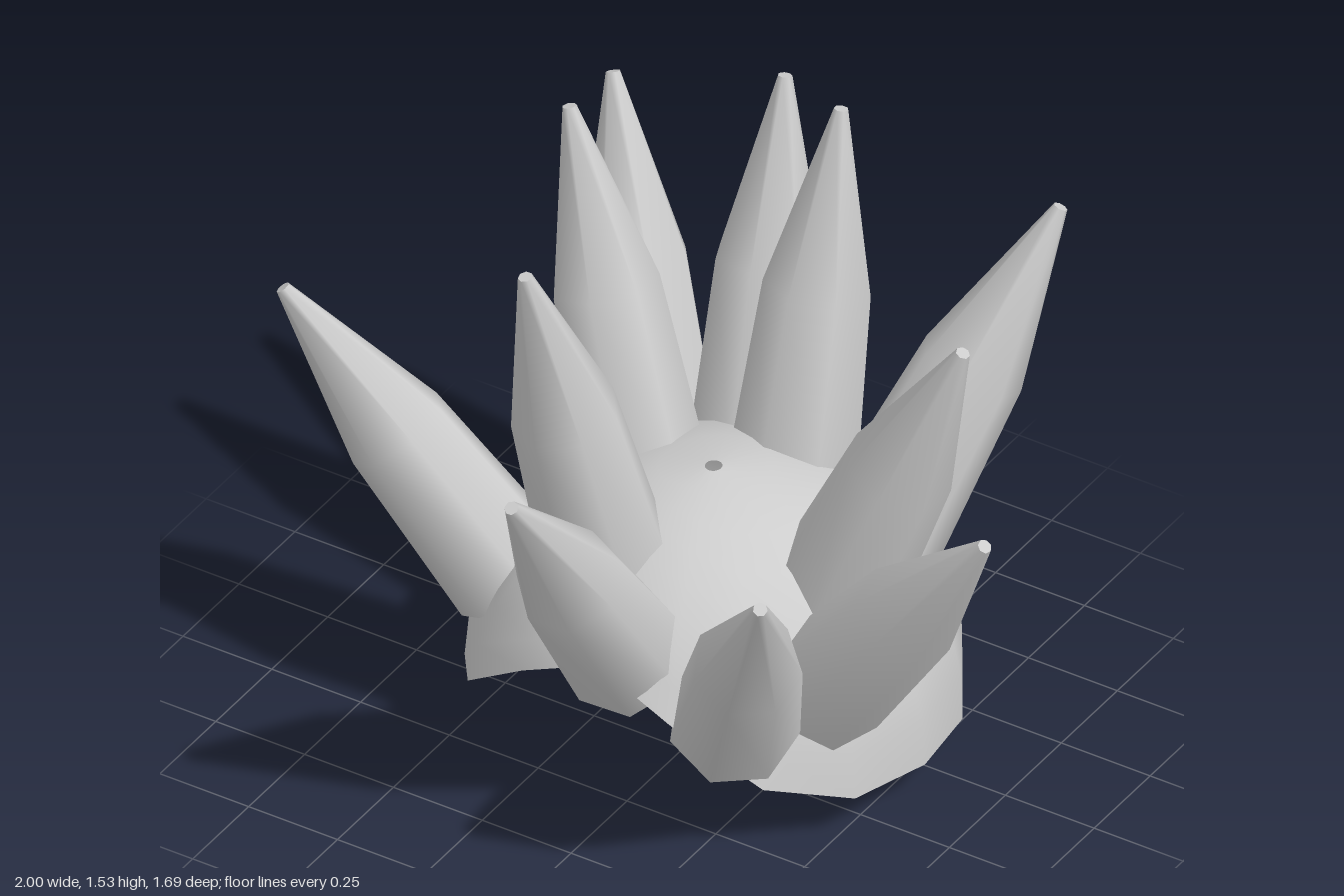
import * as THREE from 'three';
import { mergeGeometries, mergeVertices } from 'three/addons/utils/BufferGeometryUtils.js';

const grey = new THREE.MeshStandardMaterial({ color: 0xcccccc, side: THREE.DoubleSide });
grey.name = 'grey';

// Thin dome with a low back rim, an arched front rim and a small hole on top
function domeGeometry() {
  const segments = 16, rows = 9;
  const rim = [0.48, 0.39, 0.225, 0.13, 0.1, 0.07, 0.04, 0.015, 0]; // rim height, front to back
  const centre = 0.13, height = 0.62;
  const wall = Array.from({ length: rows }, (_, j) => new THREE.Vector2(1, j));
  const geo = new THREE.LatheGeometry(wall, segments);
  const pos = geo.attributes.position, uv = geo.attributes.uv;
  for (let i = 0; i < pos.count; i++) {
    const step = Math.round(uv.getX(i) * segments);
    const turn = (step % segments) / segments * Math.PI * 2;
    const start = Math.asin((rim[Math.min(step, segments - step)] - centre) / height);
    const rise = THREE.MathUtils.lerp(start, Math.PI / 2 - 0.035, uv.getY(i));
    const r = rise < 0 ? 1 : Math.cos(rise);
    pos.setXYZ(i, 0.595 * r * Math.sin(turn), centre + height * Math.sin(rise), -0.137 + 0.628 * r * Math.cos(turn));
  }
  geo.deleteAttribute('uv');
  geo.deleteAttribute('normal');
  const welded = mergeVertices(geo);
  welded.computeVertexNormals();
  return welded;
}

// Seven-sided spike of unit length along +y, with flat ends and a flat side towards +z
function spikeGeometry() {
  const sides = 7, base = 0.16, tip = 0.018;
  const profile = [[base, 0], [0.134, 0.505], [tip, 1]].map(([r, y]) => new THREE.Vector2(r, y));
  const body = new THREE.LatheGeometry(profile, sides);
  const bottom = new THREE.CircleGeometry(base, sides, Math.PI / 2).rotateX(Math.PI / 2);
  const top = new THREE.CircleGeometry(tip, sides, -Math.PI / 2).rotateX(-Math.PI / 2).translate(0, 1, 0);
  return mergeGeometries([body, bottom, top]).rotateY(Math.PI);
}

export function createModel() {
  const model = new THREE.Group();
  model.name = 'spikedCap';

  const dome = new THREE.Mesh(domeGeometry(), grey);
  dome.name = 'dome';
  model.add(dome);

  // Each spike: centre of the base, centre of the tip
  const spikes = [
    [[-0.325, 0.515, -0.405], [-0.625, 1.335, -0.68]],
    [[-0.11, 0.57, -0.48], [-0.16, 1.485, -0.71]],
    [[0.05, 0.61, -0.42], [0.055, 1.525, -0.62]],
    [[0.265, 0.465, -0.46], [0.54, 1.295, -0.83]],
    [[-0.265, 0.6, -0.23], [-0.525, 1.49, -0.325]],
    [[0.35, 0.535, -0.12], [0.725, 1.385, -0.1]],
    [[-0.43, 0.38, 0.065], [-0.985, 1.115, 0.225]],
    [[0.43, 0.38, 0.055], [0.985, 1.11, 0.215]],
    [[-0.125, 0.61, 0.14], [-0.23, 1.51, 0.34]],
    [[0.015, 0.445, 0.265], [0.04, 1.235, 0.83]],
    [[0.31, 0.36, 0.265], [0.665, 1.105, 0.71]],
  ];
  const geo = spikeGeometry();
  const up = new THREE.Vector3(0, 1, 0);
  spikes.forEach(([from, to], i) => {
    const base = new THREE.Vector3(...from);
    const axis = new THREE.Vector3(...to).sub(base);
    const spike = new THREE.Mesh(geo, grey);
    spike.name = `spike${i + 1}`;
    spike.position.copy(base);
    spike.scale.y = axis.length();
    // Turn the flat side outward, then lean along the axis
    const turn = new THREE.Quaternion().setFromAxisAngle(up, Math.atan2(axis.x, axis.z));
    spike.quaternion.setFromUnitVectors(up, axis.normalize()).multiply(turn);
    model.add(spike);
  });
  return model;
}
